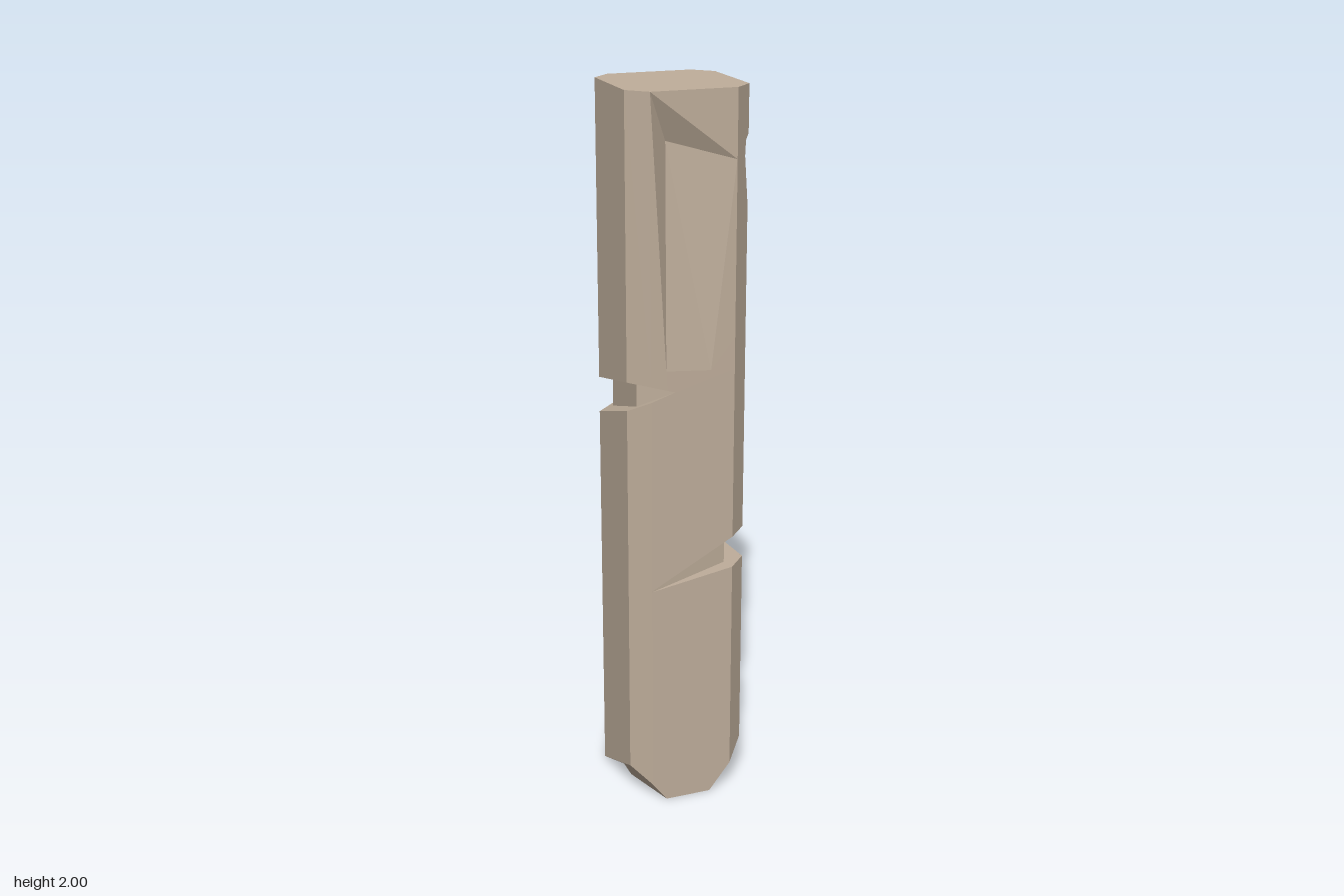
import * as THREE from 'three';

const V = (x, y, z) => new THREE.Vector3(x, y, z);
const R = 0.167, C = 0.117; // half width, chamfer start

// Plane through three points whose normal looks towards the point `out`
function plane(a, b, c, out) {
  const p = new THREE.Plane().setFromCoplanarPoints(a, b, c);
  return p.distanceToPoint(out) < 0 ? p.negate() : p;
}

// Part of a polygon on one side (+1 / -1) of a plane
function clip(poly, p, side, shift = 0) {
  const out = [];
  poly.forEach((a, i) => {
    const b = poly[(i + 1) % poly.length];
    const da = side * (p.distanceToPoint(a) + shift);
    const db = side * (p.distanceToPoint(b) + shift);
    if (da >= 0) out.push(a);
    if ((da >= 0) !== (db >= 0)) out.push(a.clone().lerp(b, da / (da - db)));
  });
  return out.length > 2 ? out : [];
}

// Pieces of a polygon left after removing a convex cut
function subtract(poly, cut, shift) {
  const out = [];
  for (const p of cut) {
    const rest = clip(poly, p, -1, shift);
    if (rest.length) out.push(rest);
    poly = clip(poly, p, 1, shift);
    if (!poly.length) break;
  }
  return out;
}

// Large square lying on a plane
function sheet(p) {
  const o = p.coplanarPoint(V(0, 0, 0));
  const u = V(0, 0, 0).crossVectors(p.normal, Math.abs(p.normal.y) > 0.9 ? V(1, 0, 0) : V(0, 1, 0)).normalize();
  const v = V(0, 0, 0).crossVectors(p.normal, u);
  return [[u, 9], [v, 9], [u, -9], [v, -9]].map(([d, s]) => o.clone().addScaledVector(d, s));
}

// Chip: pyramid with its apex inside the stone
function chip(apex, base) {
  const mid = base.reduce((s, b) => s.add(b), V(0, 0, 0)).divideScalar(base.length);
  return base.map((b, i) => plane(apex, b, base[(i + 1) % base.length], mid));
}

// Crack: sloping lips and upright inner walls along a plan path of [x, z]
function crack(path, lower, upper) {
  const lips = [plane(...lower, V(0, 9, 0)), plane(...upper, V(0, -9, 0))];
  return path.slice(1).map(([x, z], i) => {
    const [px, pz] = path[i];
    const wall = plane(V(px, 0, pz), V(x, 0, z), V(x, 1, z), V(0, 0, 0)).negate();
    return [...lips, wall];
  });
}

function createStone() {
  // Chamfered square column
  const hull = [new THREE.Plane(V(0, 1, 0), -2), new THREE.Plane(V(0, -1, 0), 0)];
  for (let i = 0; i < 8; i++) {
    const a = i * Math.PI / 4;
    hull.push(new THREE.Plane(V(Math.cos(a), 0, Math.sin(a)), i % 2 ? -(R + C) / Math.SQRT2 : -R));
  }
  // Broken bottom corners
  hull.push(plane(V(-R, 0.1, C), V(-R, 0, -C), V(-0.075, 0, R), V(-1, -1, 1)));
  hull.push(plane(V(R, 0.13, C), V(R, 0.065, -C), V(0.055, 0, R), V(1, -1, 1)));

  const dentOut = V(1, 1.2, -1);
  const cuts = [
    // Lower crack round the front left corner
    ...crack([[-C, R], [0.112, 0.118], [R, -C]],
      [V(-C, 0.656, R), V(R, 0.70, C), V(R, 0.682, -C)],
      [V(-C, 0.658, R), V(R, 0.79, C), V(R, 0.684, -C)]),
    // Upper crack across the right side
    ...crack([[-0.05, R], [-0.138, 0.11], [-0.13, -0.11], [-0.025, -R]],
      [V(-R, 1.166, C), V(-R, 1.09, -C), V(-0.05, 1.22, R)],
      [V(-R, 1.245, C), V(-R, 1.19, -C), V(-0.05, 1.22, R)]),
    // Tall flake on the front
    chip(V(-0.062, 1.87, 0.125), [V(-C, 2, R), V(-0.075, 1.28, R), V(0.05, 1.27, R), V(C, 1.82, R)]),
    // Small pocket in the front left chamfer
    chip(V(0.15, 1.84, 0.1), [V(0.155, 1.86, 0.129), V(0.152, 1.82, 0.132), V(R, 1.69, C), V(R, 1.86, 0.08)]),
    // Worn lower back right corner
    chip(V(-0.148, 0.66, -0.125), [V(-C, 0.61, -R), V(-R, 0.76, -C), V(-R, 0, C), V(-R, 0, -C)]),
    // Long dent in the back left corner
    [plane(V(R, 2, -C), V(0.112, 1.18, -0.16), V(R, 1.27, C), dentOut),
      plane(V(R, 1.08, -C), V(C, 0.78, -R), V(-0.05, 1.1, -R), dentOut)],
  ];

  const faces = [];
  const add = (p, bounds, own) => {
    let poly = sheet(p);
    for (const q of hull) if (q !== p) poly = clip(poly, q, -1);
    for (const q of bounds) if (q !== p) poly = clip(poly, q, 1);
    let pieces = poly.length ? [poly] : [];
    cuts.forEach((cut, j) => {
      if (j !== own) pieces = pieces.flatMap(f => subtract(f, cut, j < own ? 1e-5 : -1e-5));
    });
    faces.push(...pieces);
  };
  hull.forEach(p => add(p, [], -1));
  cuts.forEach((cut, i) => cut.forEach(p => add(p, cut, i)));

  // Fan each polygon into triangles
  const points = [];
  for (const f of faces) for (let i = 2; i < f.length; i++) points.push(f[0], f[i - 1], f[i]);
  const geometry = new THREE.BufferGeometry().setFromPoints(points);
  geometry.computeVertexNormals();
  return geometry;
}

export function createModel() {
  const group = new THREE.Group();
  group.name = 'stonePillar';
  const material = new THREE.MeshStandardMaterial({ color: 0xbfae9b, flatShading: true });
  const pillar = new THREE.Mesh(createStone(), material);
  pillar.name = 'pillar';
  group.add(pillar);
  return group;
}
